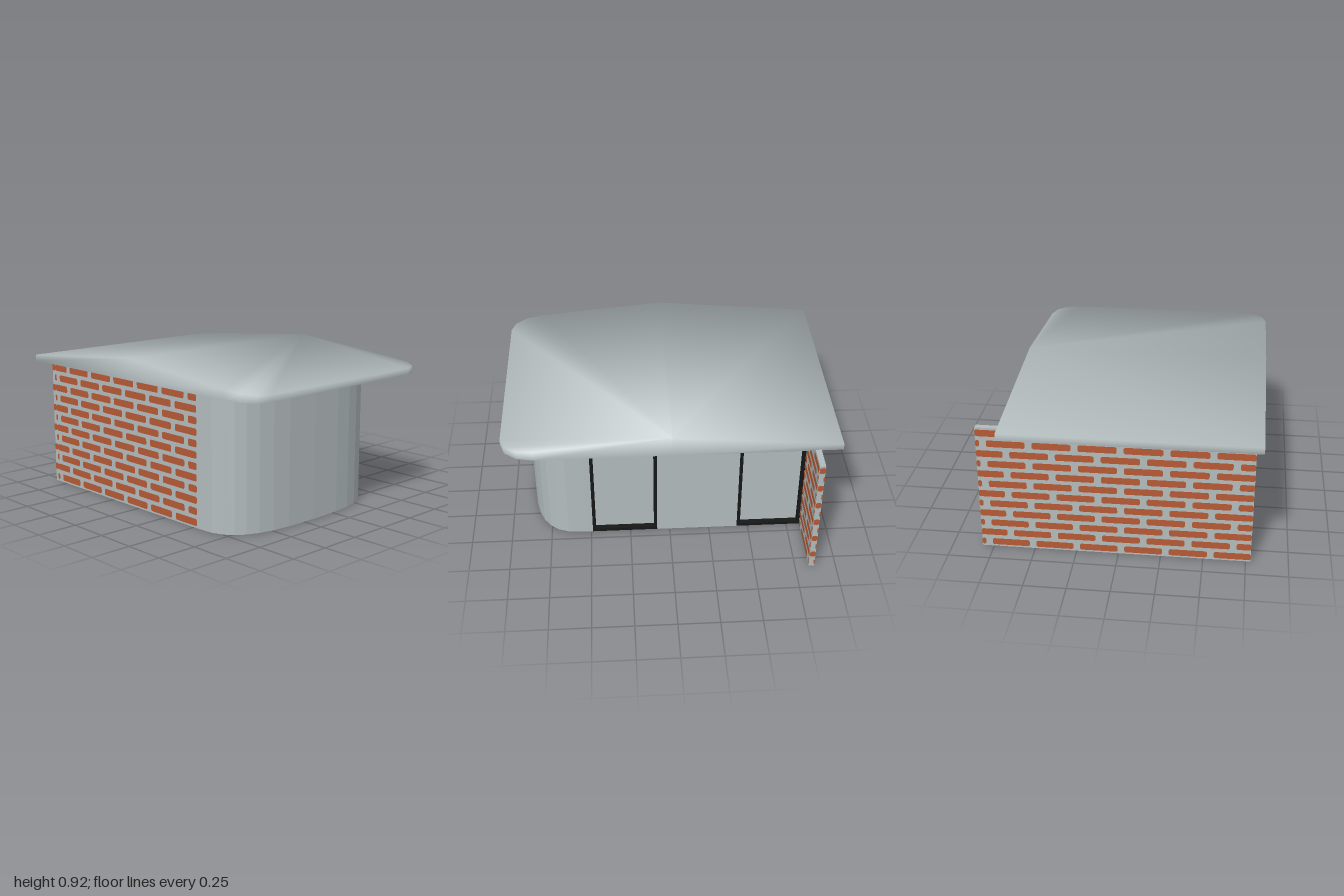
import * as THREE from 'three';

const grey = new THREE.MeshStandardMaterial({ color: 0xb3bcbd });
grey.name = 'light grey';
const brick = new THREE.MeshStandardMaterial({ color: 0xb65a35 });
brick.name = 'brick red';
const black = new THREE.MeshStandardMaterial({ color: 0x161717 });
black.name = 'frame black';

const H = 0.795; // wall height

function add(parent, name, geometry, material) {
  const mesh = new THREE.Mesh(geometry, material);
  mesh.name = name;
  parent.add(mesh);
  return mesh;
}

// Box given by its limits
function slab(parent, name, x0, x1, y0, y1, z0, z1, material) {
  const mesh = add(parent, name, new THREE.BoxGeometry(x1 - x0, y1 - y0, z1 - z0), material);
  mesh.position.set((x0 + x1) / 2, (y0 + y1) / 2, (z0 + z1) / 2);
}

// Twelve staggered courses of flat bricks, clipped to a face of the given width
function brickFace(parent, name, width, pitch, phase, position, turn) {
  const rows = 12, step = H / rows, half = 0.021, gap = pitch * 0.075, c = 0.008;
  const shapes = [];
  for (let r = 0; r < rows; r++) {
    const y = (r + 0.5) * step;
    const start = phase + (r % 2 ? pitch / 2 : 0) - 2 * pitch;
    for (let u = start; u < width; u += pitch) {
      const a = Math.max(u + gap, 0), b = Math.min(u + pitch - gap, width);
      if (b - a < 0.004) continue;
      const k = Math.min(c, (b - a) / 2.5);
      shapes.push(new THREE.Shape([
        [a + k, y - half], [b - k, y - half], [b, y - half + c], [b, y + half - c],
        [b - k, y + half], [a + k, y + half], [a, y + half - c], [a, y - half + c],
      ].map(p => new THREE.Vector2(...p))));
    }
  }
  const mesh = add(parent, name, new THREE.ShapeGeometry(shapes), brick);
  mesh.position.set(...position);
  mesh.rotation.y = turn;
}

// Rounded end wall: a squarish half oval in plan, in flat facets
function curvedWall() {
  const arc = (a, b) => {
    const pts = [];
    for (let i = 0; i <= 16; i++) {
      const t = -Math.PI / 2 + (Math.PI * i) / 16;
      const c = Math.max(Math.cos(t), 0), s = Math.sin(t);
      pts.push(new THREE.Vector2(
        0.53 + a * (i % 16 ? Math.pow(c, 2 / 3) : 0),
        -0.17 + b * Math.sign(s) * Math.pow(Math.abs(s), 2 / 3)));
    }
    return pts;
  };
  const shape = new THREE.Shape([...arc(0.34, 0.61), ...arc(0.28, 0.55).reverse()]);
  const g = new THREE.ExtrudeGeometry(shape, { depth: H, bevelEnabled: false });
  return g.rotateX(-Math.PI / 2);
}

// Low gable roof: rounded plan on the +x side, soft normals over the rim
function roofGeometry() {
  const front = 0.82, back = -0.67, base = 0.79;
  const corner = (zEdge, dir) => [0, 1, 2, 3].map(i => {
    const t = (i / 3) * Math.PI / 2;
    return [0.8 + 0.2 * Math.sin(t), zEdge - dir * 0.15 * (1 - Math.cos(t))];
  });
  // Outline, anticlockwise from above, beginning at the front of the ridge
  const ring = [[0, front], ...corner(front, 1), ...corner(back, -1).reverse(),
    [0, back], [-1, back], [-1, front]];
  const n = ring.length;
  const top = ring.map(([x, z]) => new THREE.Vector3(x, 0.83 + 0.092 * (1 - Math.abs(x)), z));
  const low = ring.map(([x, z]) => new THREE.Vector3(x, base, z));
  const out = ring.map((p, i) => {
    const sum = new THREE.Vector3();
    for (const [a, b] of [[ring[(i + n - 1) % n], p], [p, ring[(i + 1) % n]]]) {
      const dx = b[0] - a[0], dz = b[1] - a[1], l = Math.hypot(dx, dz);
      sum.add(new THREE.Vector3(-dz / l, 0, dx / l));
    }
    return sum.normalize();
  });
  const up = new THREE.Vector3(0, 1, 0), down = new THREE.Vector3(0, -1, 0);
  const soft = out.map(o => o.clone().add(up).normalize());
  const pos = [], nor = [];
  const put = (p, q) => { pos.push(p.x, p.y, p.z); nor.push(q.x, q.y, q.z); };
  const fan = ids => {
    for (let i = 1; i < ids.length - 1; i++)
      for (const k of [ids[0], ids[i], ids[i + 1]]) put(top[k], soft[k]);
  };
  const ridgeBack = n - 3;
  // Two slopes
  fan([ridgeBack, ...Array.from({ length: ridgeBack }, (_, i) => i)]);
  fan([ridgeBack, n - 2, n - 1, 0]);
  // Rim and flat underside
  for (let i = 0; i < n; i++) {
    const j = (i + 1) % n;
    put(low[i], out[i]); put(low[j], out[j]); put(top[j], soft[j]);
    put(low[i], out[i]); put(top[j], soft[j]); put(top[i], soft[i]);
    if (i > 0 && j > 0) for (const k of [0, j, i]) put(low[k], down);
  }
  const g = new THREE.BufferGeometry();
  g.setAttribute('position', new THREE.Float32BufferAttribute(pos, 3));
  g.setAttribute('normal', new THREE.Float32BufferAttribute(nor, 3));
  return g;
}

// Black framed opening with a recessed panel
function framedPanel(parent, name, x0, x1) {
  const g = new THREE.Group();
  g.name = name;
  const z0 = -0.445, z1 = -0.38, y0 = 0.005, y1 = 0.785, w = 0.02;
  slab(g, 'frameSide', x0, x0 + w, y0, y1, z0, z1, black);
  slab(g, 'frameSide', x1 - w, x1, y0, y1, z0, z1, black);
  slab(g, 'frameBottom', x0 + w, x1 - w, y0, y0 + w, z0, z1, black);
  slab(g, 'frameTop', x0 + w, x1 - w, y1 - w, y1, z0, z1, black);
  slab(g, 'panel', x0 + w, x1 - w, y0 + w, y1 - w, -0.41, -0.395, grey);
  parent.add(g);
}

export function createModel() {
  const model = new THREE.Group();
  model.name = 'pavilion';

  add(model, 'roof', roofGeometry(), grey);
  add(model, 'curvedWall', curvedWall(), grey);

  // Brick walls: front, and the long side wall that runs past the back
  slab(model, 'frontWall', -0.835, 0.53, 0, H, 0.745, 0.78, grey);
  slab(model, 'sideWall', -0.87, -0.835, 0, H, -0.82, 0.78, grey);
  const e = 0.003, q = Math.PI / 2;
  brickFace(model, 'frontBricks', 1.365, 0.227, 0.028, [-0.835, 0, 0.78 + e], 0);
  brickFace(model, 'frontInnerBricks', 1.365, 0.227, 0.1, [0.53, 0, 0.745 - e], Math.PI);
  brickFace(model, 'sideBricks', 1.6, 0.264, 0.043, [-0.87 - e, 0, -0.82], -q);
  brickFace(model, 'sideInnerBricks', 1.565, 0.264, 0.202, [-0.835 + e, 0, 0.745], q);
  brickFace(model, 'sideFrontEndBricks', 0.035, 0.227, 0.01, [-0.87, 0, 0.78 + e], 0);
  brickFace(model, 'sideBackEndBricks', 0.035, 0.227, 0.01, [-0.835, 0, -0.82 - e], Math.PI);

  // Back wall pieces between two framed openings
  slab(model, 'backWall', 0.49, 0.53, 0, H, -0.44, -0.38, grey);
  slab(model, 'backWall', -0.43, 0.08, 0, H, -0.44, -0.38, grey);
  framedPanel(model, 'backPanelLeft', 0.08, 0.49);
  framedPanel(model, 'backPanelRight', -0.835, -0.43);

  return model;
}
